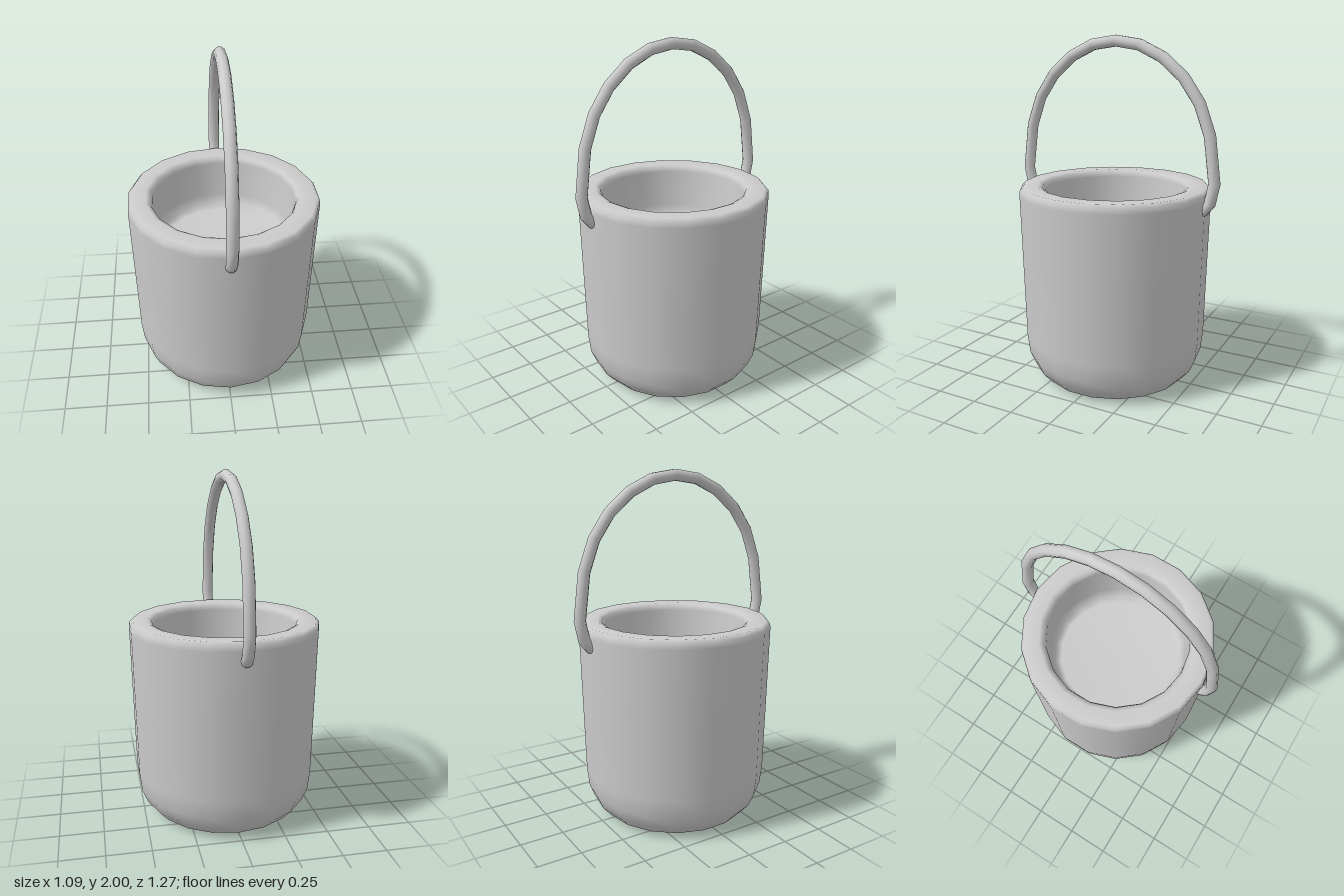
import * as THREE from 'three';

const SIDES = 18;
const material = new THREE.MeshStandardMaterial({ color: 0xcccccc });

function lathe(name, profile) {
  const points = profile.map(([r, y]) => new THREE.Vector2(r, y));
  const mesh = new THREE.Mesh(new THREE.LatheGeometry(points, SIDES), material);
  mesh.name = name;
  return mesh;
}

export function createModel() {
  const group = new THREE.Group();
  group.name = 'bucket';

  // Flat base, rounded lower edge, slightly flared wall, thick rim and hollow inside
  group.add(lathe('base', [[0, 0], [0.4, 0]]));
  group.add(lathe('body', [
    [0.4, 0], [0.435, 0.014], [0.49, 0.075], [0.522, 0.15], [0.535, 0.26],
    [0.555, 1.11], [0.553, 1.14], [0.535, 1.16],
    [0.45, 1.16], [0.425, 1.15], [0.414, 1.12],
    [0.405, 0.9], [0.385, 0.84], [0.35, 0.815], [0, 0.81],
  ]));

  // Bail handle: mirrored half arc whose ends sink into the wall, as [z, y]
  const half = [
    [0.145, 1.945], [0.285, 1.88], [0.41, 1.775], [0.505, 1.64],
    [0.568, 1.47], [0.602, 1.21], [0.58, 1.1], [0.545, 1.056], [0.49, 1.045],
  ];
  const arc = [
    ...half.map(([z, y]) => [-z, y]).reverse(), [0, 1.966], ...half,
  ].map(([z, y]) => new THREE.Vector3(-0.008, y, z));
  const path = new THREE.CatmullRomCurve3(arc);
  // Rings sit exactly on the path points
  path.getPointAt = path.getPoint;
  path.getTangentAt = path.getTangent;
  const handle = new THREE.Mesh(
    new THREE.TubeGeometry(path, arc.length - 1, 0.033, 10), material);
  handle.name = 'handle';
  group.add(handle);

  return group;
}
